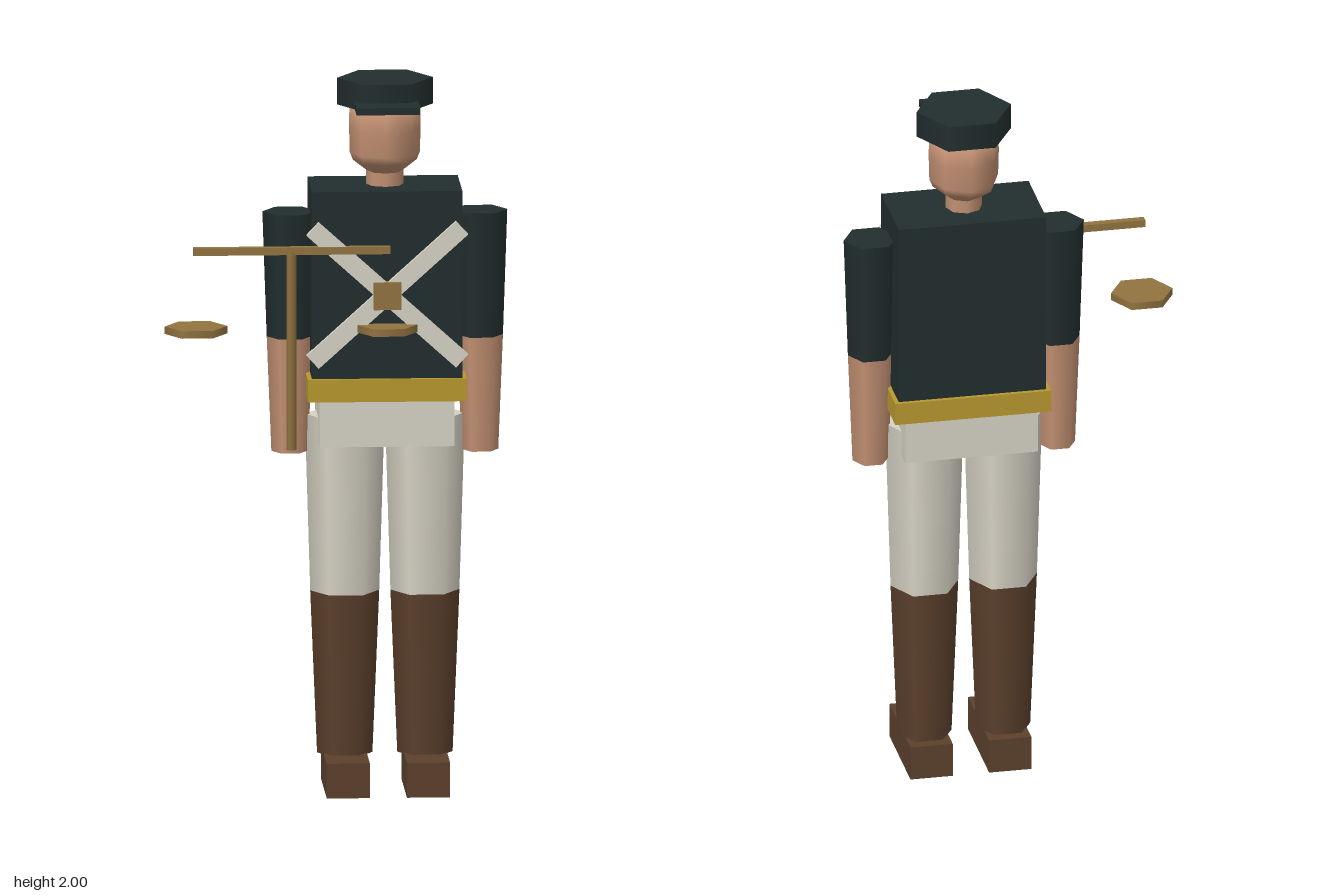
import * as THREE from 'three';

const mat = (name, color) => {
  const m = new THREE.MeshStandardMaterial({ color });
  m.name = name;
  return m;
};

export function createModel() {
  const coat = mat('dark coat', 0x222e2e);
  const cloth = mat('off-white cloth', 0xd6d2c4);
  const leather = mat('brown leather', 0x5c402c);
  const skin = mat('skin', 0xc29072);
  const gold = mat('gold', 0xb8982f);
  const wood = mat('wood', 0x917340);

  const model = new THREE.Group();
  model.name = 'soldier';
  const CX = 0.139, CZ = -0.039; // body axis

  const add = (name, geo, material, x, y, z) => {
    const mesh = new THREE.Mesh(geo, material);
    mesh.name = name;
    mesh.position.set(x, y, z);
    model.add(mesh);
    return mesh;
  };
  // box given by size in x and z, and its lower and upper heights
  const box = (name, material, w, d, y0, y1, x, z) =>
    add(name, new THREE.BoxGeometry(w, y1 - y0, d), material, x, (y0 + y1) / 2, z);
  // upright six-sided prism with corners on the x axis
  const hex = (name, material, rTop, rBottom, y0, y1, x, z) =>
    add(name, new THREE.CylinderGeometry(rTop, rBottom, y1 - y0, 6, 1, false, Math.PI / 2),
      material, x, (y0 + y1) / 2, z);

  // trunk
  box('torso', coat, 0.418, 0.242, 1.14, 1.7, CX, -0.038);
  box('belt', gold, 0.442, 0.266, 1.108, 1.172, CX, -0.038);
  box('hips', cloth, 0.376, 0.22, 0.977, 1.11, CX, -0.037);

  // limbs, mirrored about the body axis
  for (const [side, s] of [['right', -1], ['left', 1]]) {
    const legX = CX + s * 0.1115, armX = CX + s * 0.2645;
    hex(side + 'Thigh', cloth, 0.111, 0.096, 0.553, 1.052, legX, CZ);
    hex(side + 'BootShaft', leather, 0.096, 0.077, 0.095, 0.553, legX, CZ);
    box(side + 'Boot', leather, 0.12, 0.291, 0, 0.098, legX, 0.007);
    hex(side + 'Sleeve', coat, 0.076, 0.064, 1.272, 1.625, armX, CZ);
    hex(side + 'Forearm', skin, 0.064, 0.051, 0.948, 1.272, armX, CZ);
  }

  // neck and head
  add('neck', new THREE.CylinderGeometry(0.052, 0.052, 0.1, 8), skin, CX, 1.71, CZ);
  const profile = [[0, 1.735], [0.05, 1.738], [0.09, 1.768], [0.099, 1.79], [0.101, 1.86], [0.1, 1.93], [0, 1.95]]
    .map(([r, y]) => new THREE.Vector2(r, y));
  add('head', new THREE.LatheGeometry(profile, 8), skin, CX, 0, CZ).scale.set(0.985, 1, 1.075);

  // cap
  hex('cap', coat, 0.1335, 0.1335, 1.925, 2, CX, CZ);
  box('visor', coat, 0.177, 0.12, 1.928, 1.948, CX, 0.089);

  // crossed straps with a plate in the middle
  for (const s of [-1, 1]) {
    add('crossStrap', new THREE.BoxGeometry(0.56, 0.05, 0.021), cloth, CX, 1.41, 0.089)
      .rotation.z = s * 0.735;
  }
  box('strapPlate', wood, 0.077, 0.03, 1.37, 1.447, CX, 0.095);

  // wooden rods and six-sided discs
  box('crossRod', wood, 0.548, 0.022, 1.527, 1.548, -0.127, 0.093);
  hex('uprightRod', wood, 0.014, 0.014, 0.975, 1.535, -0.128, 0.094);
  for (const x of [-0.393, CX]) hex('disc', wood, 0.087, 0.087, 1.306, 1.327, x, 0.094);

  return model;
}
